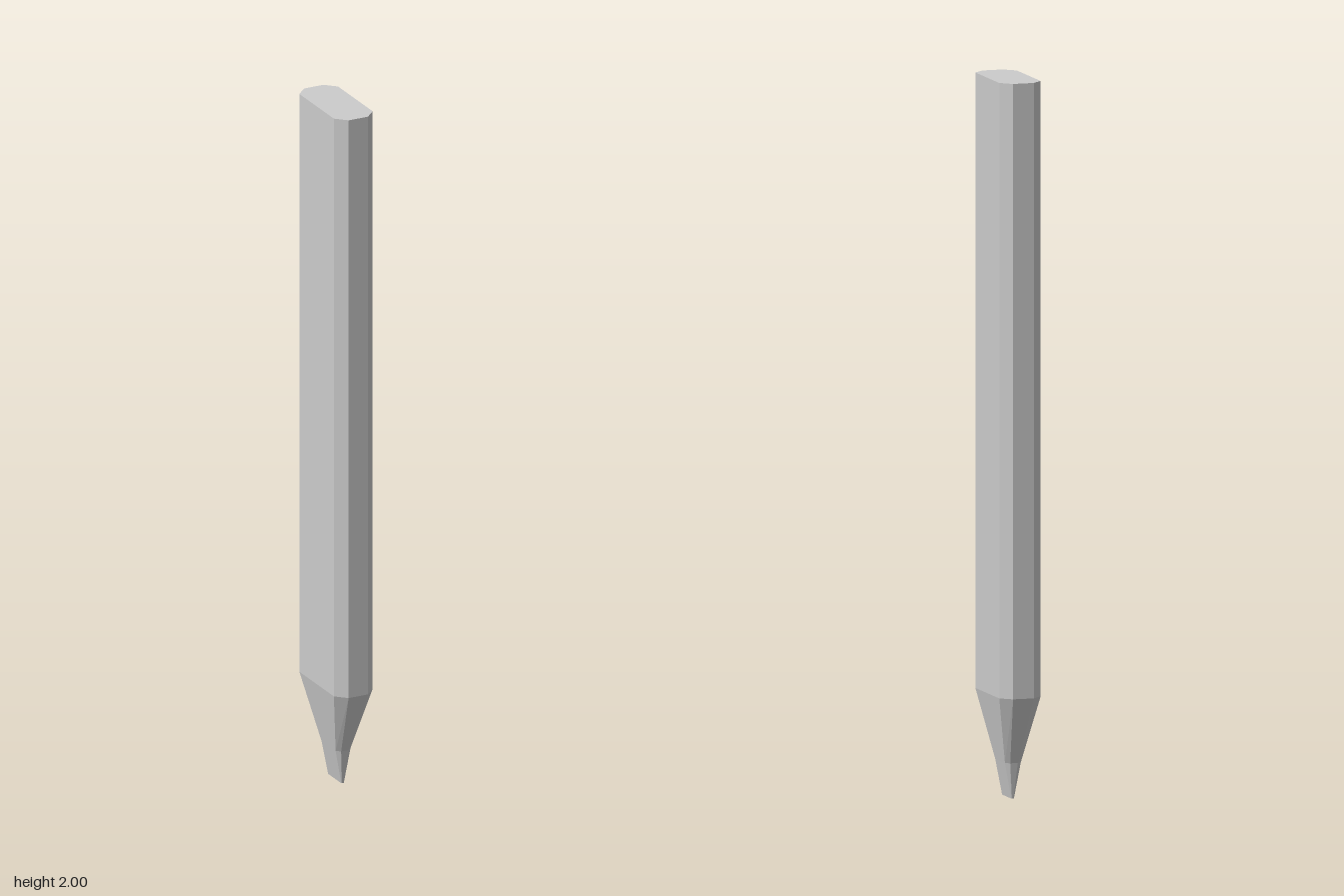
import * as THREE from 'three';

// Chamfered rectangular ring: half width, half depth, chamfer in x and z
function ring([y, hx, hz, cx, cz]) {
  return [
    [hx, hz - cz], [hx, cz - hz], [hx - cx, -hz], [cx - hx, -hz],
    [-hx, cz - hz], [-hx, hz - cz], [cx - hx, hz], [hx - cx, hz],
  ].map(([x, z]) => new THREE.Vector3(x, y, z));
}

// Joins two rings with flat faces, with optional caps
function loft(name, lower, upper, capBottom, capTop) {
  const a = ring(lower), b = ring(upper), points = [];
  for (let i = 0; i < 8; i++) {
    const j = (i + 1) % 8;
    points.push(a[i], a[j], b[j], a[i], b[j], b[i]);
    if (i > 0 && i < 7) {
      if (capTop) points.push(b[0], b[i], b[j]);
      if (capBottom) points.push(a[0], a[j], a[i]);
    }
  }
  const geometry = new THREE.BufferGeometry().setFromPoints(points);
  geometry.computeVertexNormals();
  const mesh = new THREE.Mesh(geometry, new THREE.MeshStandardMaterial({ color: 0xcccccc, flatShading: true }));
  mesh.name = name;
  return mesh;
}

export function createModel() {
  const group = new THREE.Group();
  group.name = 'flatPencil';
  // Sections: y, half width, half depth, chamfer x, chamfer z
  const top = [2, 0.06, 0.133, 0.03, 0.03];
  const shoulder = [0.29, 0.06, 0.133, 0.03, 0.03];
  const neck = [0.1, 0.023, 0.052, 0.012, 0.01];
  const tip = [0, 0.004, 0.04, 0.002, 0.001];

  group.add(
    loft('body', shoulder, top, false, true),
    loft('sharpenedWood', neck, shoulder, false, false),
    loft('lead', tip, neck, true, false),
  );
  return group;
}
